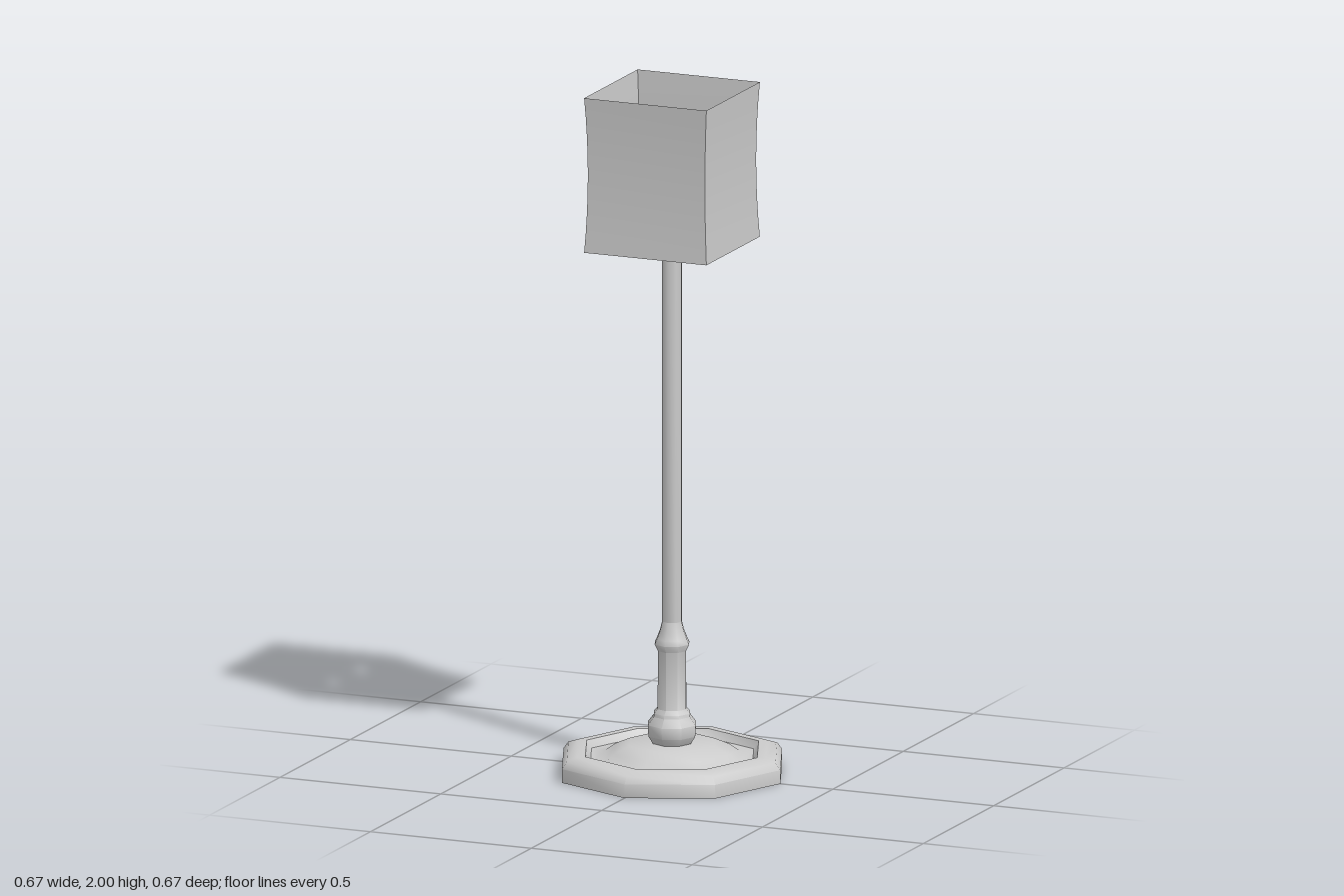
import * as THREE from 'three';
import { toCreasedNormals } from 'three/addons/utils/BufferGeometryUtils.js';

// Turned part from a [radius, height] profile running bottom to top
function turned(name, profile, sides, start = 0, side = THREE.FrontSide) {
  const points = profile.map(([r, y]) => new THREE.Vector2(r, y));
  const geometry = toCreasedNormals(new THREE.LatheGeometry(points, sides, start), 0.87);
  const mesh = new THREE.Mesh(geometry, new THREE.MeshStandardMaterial({ color: 0xcccccc, side }));
  mesh.name = name;
  return mesh;
}

export function createModel() {
  const lamp = new THREE.Group();
  lamp.name = 'floorLamp';

  // Octagonal foot: rounded rim, sunken channel, low dome
  lamp.add(turned('base', [
    [0, 0], [0.337, 0], [0.337, 0.04], [0.322, 0.06], [0.292, 0.07],
    [0.265, 0.07], [0.25, 0.048], [0.205, 0.048], [0.175, 0.07], [0.13, 0.09], [0, 0.09],
  ], 8));

  // Bulbous stem with a collar, narrowing into the pole
  lamp.add(turned('stem', [
    [0.055, 0.085], [0.072, 0.112], [0.074, 0.145], [0.056, 0.168], [0.055, 0.178], [0.044, 0.19],
    [0.043, 0.36], [0.053, 0.38], [0.046, 0.395], [0.036, 0.42], [0.03, 0.445],
  ], 8));
  lamp.add(turned('pole', [[0.03, 0.445], [0.03, 1.72]], 8));

  // Flat-topped holder hidden inside the shade
  lamp.add(turned('lampHolder', [[0, 1.72], [0.074, 1.72], [0.074, 1.78], [0, 1.78]], 8));

  // Square open shade, slightly waisted
  const shade = [];
  const bottom = 1.547, top = 2, steps = 8;
  for (let i = 0; i <= steps; i++) {
    const t = i / steps;
    const halfWidth = 0.182 + 0.008 * (2 * t - 1) ** 2;
    shade.push([halfWidth * Math.SQRT2, bottom + (top - bottom) * t]);
  }
  lamp.add(turned('shade', shade, 4, Math.PI / 4, THREE.DoubleSide));

  return lamp;
}
